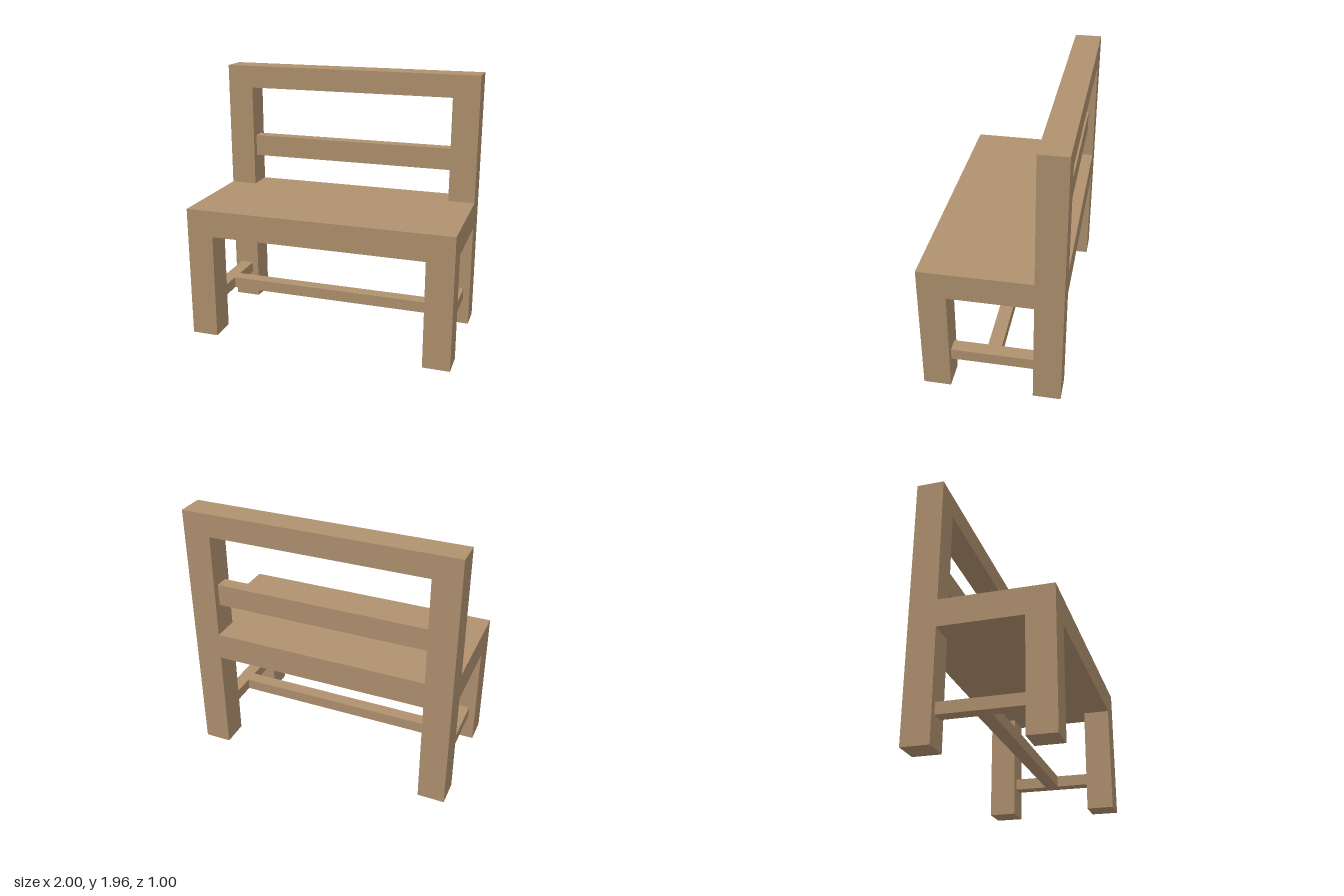
import * as THREE from 'three';

export function createModel() {
  const bench = new THREE.Group();
  bench.name = 'bench';
  const wood = new THREE.MeshStandardMaterial({ color: 0xb0926f });
  wood.name = 'wood';

  // Box given by its extents on each axis
  function beam(name, [x0, x1], [y0, y1], [z0, z1]) {
    const mesh = new THREE.Mesh(new THREE.BoxGeometry(x1 - x0, y1 - y0, z1 - z0), wood);
    mesh.position.set((x0 + x1) / 2, (y0 + y1) / 2, (z0 + z1) / 2);
    mesh.name = name;
    bench.add(mesh);
  }

  const front = [0.3, 0.5];
  const back = [-0.5, -0.3];
  const low = [0.21, 0.295];

  beam('seat', [-1, 1], [0.8, 1], [-0.5, 0.5]);

  // Legs, back posts and side stretchers, mirrored
  for (const [side, s] of [['left', 1], ['right', -1]]) {
    const span = (a, b) => (s > 0 ? [a, b] : [-b, -a]);
    beam(side + 'FrontLeg', span(0.8, 1), [0, 0.8], front);
    beam(side + 'BackLeg', span(0.8, 1), [0, 0.8], back);
    beam(side + 'BackPost', span(0.8, 1), [1, 1.96], back);
    beam(side + 'Stretcher', span(0.85, 0.95), low, [-0.3, 0.3]);
  }

  // Long stretcher between the side stretchers
  beam('centreStretcher', [-0.85, 0.85], low, [-0.05, 0.05]);

  // Backrest
  beam('topRail', [-0.8, 0.8], [1.79, 1.96], back);
  beam('backSlat', [-0.8, 0.8], [1.23, 1.395], [-0.45, -0.35]);

  return bench;
}
